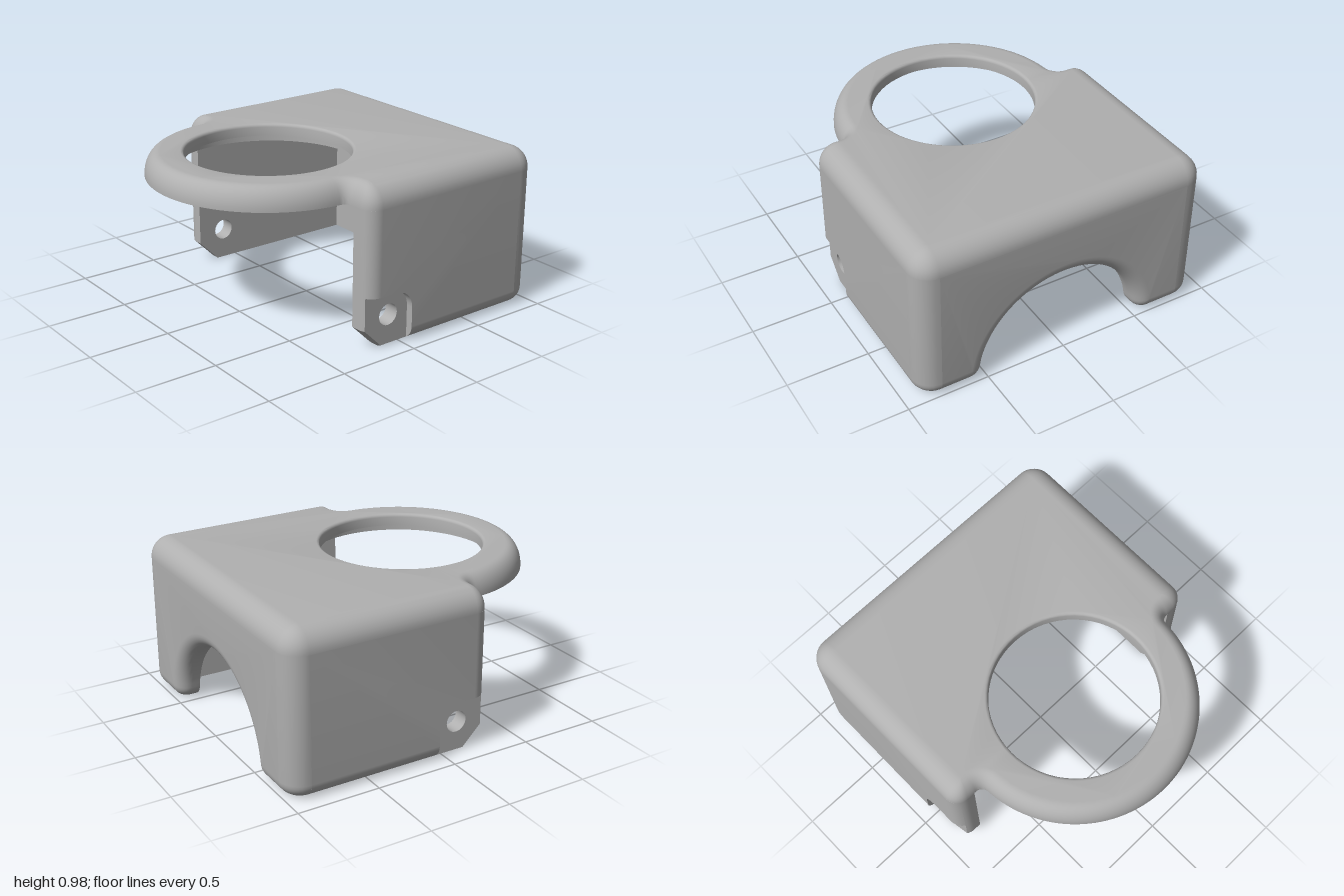
import * as THREE from 'three';
import { mergeGeometries, toCreasedNormals } from 'three/addons/utils/BufferGeometryUtils.js';

const PI = Math.PI;
const TOP = 0.98, UNDER = 0.845, BACK = -1, FRONT = 0.27, HALF = 0.92, INNER = 0.78;
const R = 0.13, E = 0.09;              // large and small edge radii
const RING_Z = 0.275, RING_R = 0.72, HOLE_R = 0.49, BORE_R = 0.58;
const V = (x, y) => new THREE.Vector2(x, y);

// Arc points; angle 0 points along the second axis, PI/2 along the first
function arc(cx, cy, r, a0, a1, n) {
  return Array.from({ length: n + 1 }, (_, i) => {
    const a = a0 + (a1 - a0) * i / n;
    return V(cx + r * Math.sin(a), cy + r * Math.cos(a));
  });
}

const mirrored = pts => pts.map(p => V(-p.x, p.y)).reverse();

// Reverse the winding of a geometry
function flip(geo) {
  const g = geo.index ? geo.toNonIndexed() : geo;
  const idx = [];
  for (let i = 0; i < g.attributes.position.count; i += 3) idx.push(i, i + 2, i + 1);
  g.setIndex(idx);
  return g.toNonIndexed();
}

// Merge pieces and smooth only the gentle edges
function finish(geos) {
  const list = geos.map(g => {
    const n = g.index ? g.toNonIndexed() : g;
    n.deleteAttribute('uv');
    n.deleteAttribute('normal');
    n.clearGroups();
    return n;
  });
  const merged = mergeGeometries(list);
  merged.computeVertexNormals();
  return toCreasedNormals(merged, 0.6);
}

// Surface through rows of [x, y, z] points
function loft(rows, closed) {
  const n = rows[0].length, idx = [];
  for (let j = 0; j < rows.length - 1; j++) {
    for (let i = 0; i < (closed ? n : n - 1); i++) {
      const a = j * n + i, b = j * n + (i + 1) % n;
      idx.push(a, b, a + n, b, b + n, a + n);
    }
  }
  const geo = new THREE.BufferGeometry();
  geo.setAttribute('position', new THREE.Float32BufferAttribute(rows.flat(2), 3));
  geo.setIndex(idx);
  return geo;
}

// Keyhole outline of the top plate in (x, z), shrunk by f from 0 to 1
function plateOutline(f) {
  const e = E * f, fr = 0.05, fz = FRONT + fr;
  const a = Math.acos((fz - RING_Z) / (RING_R + fr));
  const fx = (RING_R + fr) * Math.sin(a);
  const half = [
    ...arc(0, RING_Z, RING_R - e, 0, a, 32),
    ...arc(fx, fz, fr + e, a + PI, PI, 8),
    ...arc(HALF - R * f - E * (1 - f), FRONT - E, E * (1 - f), 0, PI / 2, 8),
    ...arc(HALF - R, BACK + R, R * (1 - f), PI / 2, PI, 8),
  ];
  return [...half, ...mirrored(half).slice(0, -1)];
}

function plateGeometry() {
  const rows = [plateOutline(0).map(p => [p.x, UNDER, p.y])];
  for (let i = 0; i <= 10; i++) {
    const t = i / 10 * PI / 2;
    rows.push(plateOutline(1 - Math.cos(t)).map(p => [p.x, TOP - R + R * Math.sin(t), p.y]));
  }
  const cap = (f, r, y) => {
    const shape = new THREE.Shape(plateOutline(f).map(p => V(p.x, -p.y)));
    shape.holes.push(new THREE.Path(arc(0, -RING_Z, r, 0, 2 * PI, 64).slice(0, -1)));
    return new THREE.ShapeGeometry(shape).rotateX(-PI / 2).translate(0, y, 0);
  };
  // Stepped round opening with a softened upper lip
  const bore = new THREE.LatheGeometry([
    ...arc(HOLE_R + 0.02, TOP - 0.02, 0.02, 0, -PI / 2, 4),
    V(HOLE_R, 0.905), V(BORE_R, 0.905), V(BORE_R, UNDER),
  ], 64).translate(0, 0, RING_Z);
  return finish([loft(rows, true), cap(1, HOLE_R + 0.02, TOP), flip(cap(0, BORE_R, UNDER)), bore]);
}

// Lower edge of the back wall in (x, y), moved into the wall by d
function archEdge(d) {
  const r = 0.52, a = Math.acos(E / (r + E));
  const half = [
    ...arc(0, 0, r + d, 0, a, 24),
    ...arc((r + E) * Math.sin(a), E, E - d, a + PI, PI, 8),
    V(HALF - R, d),
  ];
  return [...mirrored(half).slice(0, -1), ...half];
}

function backWallGeometry() {
  const rows = [], inside = BACK + 0.14;
  for (let i = 0; i <= 8; i++) {
    const t = i / 8 * PI / 2;
    const z = BACK + E * (1 - Math.cos(t));
    rows.push(archEdge(E * (1 - Math.sin(t))).map(p => [p.x, p.y, z]));
  }
  rows.push(archEdge(0).map(p => [p.x, p.y, inside]));
  const face = (d, z) => new THREE.ShapeGeometry(new THREE.Shape(
    [...archEdge(d), V(HALF - R, UNDER), V(R - HALF, UNDER)])).translate(0, 0, z);
  return finish([loft(rows, false), flip(face(E, BACK)), face(0, inside)]);
}

// Side slab from a (z, y) profile; its outer bottom and front edges are rounded
function slab(profile, hole, xAt) {
  const shape = new THREE.Shape(profile.map(p => V(-p.x, p.y)));
  if (hole) shape.holes.push(new THREE.Path(hole.map(p => V(-p.x, p.y))));
  const geo = new THREE.ExtrudeGeometry(shape, { depth: 1, steps: 8, bevelEnabled: false }).rotateY(PI / 2);
  const pos = geo.attributes.position;
  for (let i = 0; i < pos.count; i++) {
    const x = xAt(pos.getX(i)), over = Math.max(0, x - (HALF - E));
    const d = E - Math.sqrt(Math.max(0, E * E - over * over));
    pos.setXYZ(i, x, Math.max(pos.getY(i), d), Math.min(pos.getZ(i), FRONT - d));
  }
  return geo;
}

function sideWallGeometry() {
  const b = BACK + R, recessX = HALF - E / 2;
  // Inner layer: chamfered foot with a pivot hole
  const inner = slab(
    [V(b, 0), V(0.14, 0), V(FRONT, 0.13), V(FRONT, UNDER), V(b, UNDER)],
    arc(0.09, 0.19, 0.065, 0, 2 * PI, 32).slice(0, -1),
    t => INNER + (recessX - INNER) * t);
  // Outer layer: cut away around the pivot
  const outer = slab(
    [V(b, 0), V(-0.05, 0), ...arc(0.07, 0.21, 0.12, -PI / 2, 0, 10),
      V(FRONT, 0.33), V(FRONT, UNDER), V(b, UNDER)],
    null,
    t => HALF - E + E * Math.sin(PI / 6 + t * PI / 3));
  // Rounded rear corner post
  const post = new THREE.LatheGeometry(
    [V(0, 0), ...arc(R - E, E, E, PI, PI / 2, 8), V(R, UNDER)], 8, PI / 2, PI / 2)
    .translate(HALF - R, 0, b);
  return finish([inner, outer, post]);
}

export function createModel() {
  const grey = new THREE.MeshStandardMaterial({ color: 0xb0b0b0 });
  grey.name = 'grey';
  const group = new THREE.Group();
  group.name = 'ringBracket';
  const add = (name, geo) => {
    const mesh = new THREE.Mesh(geo, grey);
    mesh.name = name;
    group.add(mesh);
  };
  add('topPlateWithRing', plateGeometry());
  add('archedBackWall', backWallGeometry());
  add('leftSideWall', sideWallGeometry());
  add('rightSideWall', flip(sideWallGeometry().scale(-1, 1, 1)));
  return group;
}
